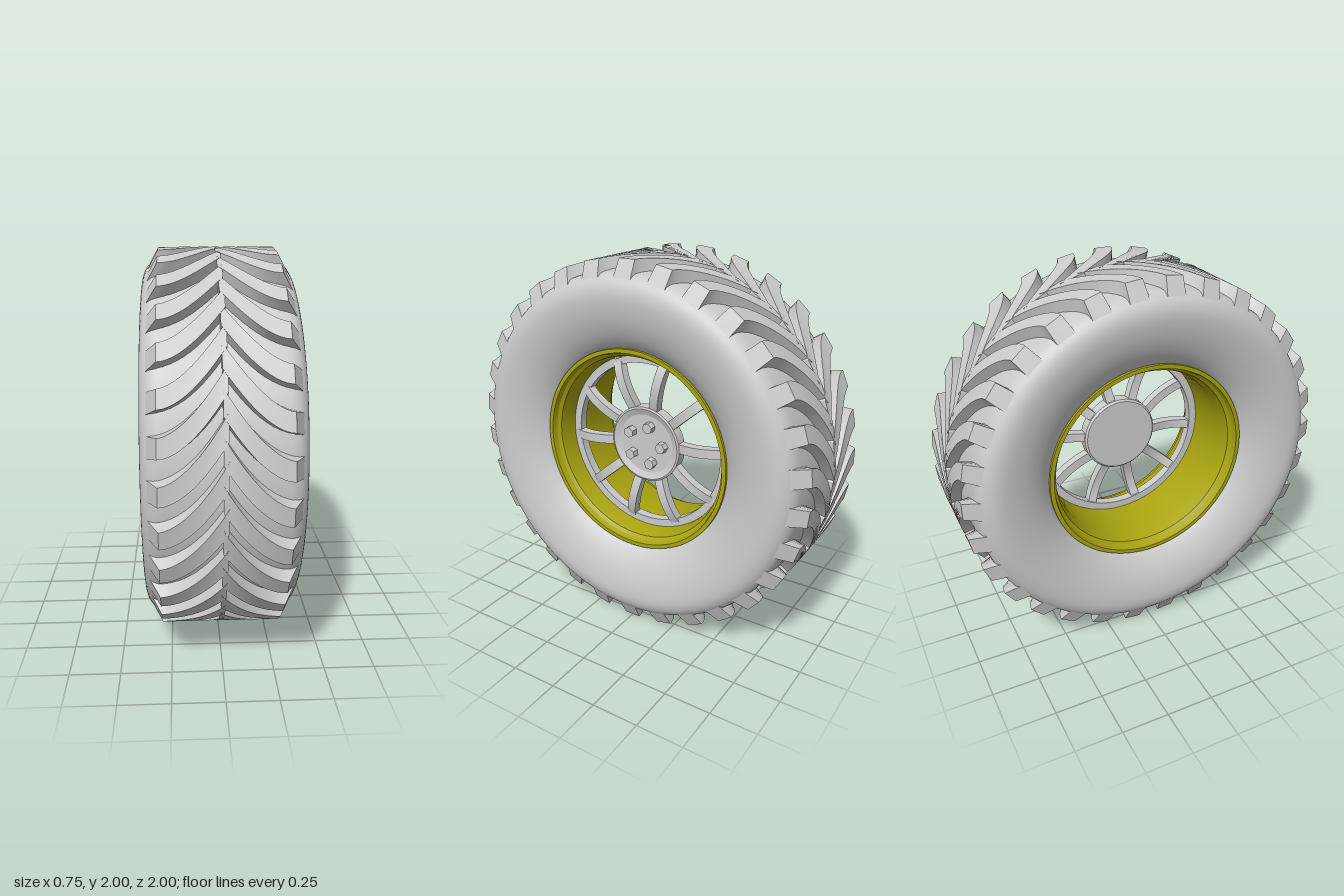
import * as THREE from 'three';
import { toCreasedNormals } from 'three/addons/utils/BufferGeometryUtils.js';

const grey = new THREE.MeshStandardMaterial({ color: 0xcccccc });
const olive = new THREE.MeshStandardMaterial({ color: 0xaaa510 });

// Revolve [radius, x] points around the wheel axle (x axis)
function revolve(points, crease, segments = 96) {
  const g = new THREE.LatheGeometry(points.map(([r, x]) => new THREE.Vector2(r, x)), segments);
  g.rotateZ(-Math.PI / 2);
  return crease ? toCreasedNormals(g, crease) : g;
}

// One curved, tapering tread lug; side = +1 or -1 mirrors it across the tyre
function lugGeometry(side) {
  const steps = 12, pos = [], idx = [];
  for (let i = 0; i <= steps; i++) {
    const u = i / steps;
    const xTop = -0.012 + 0.307 * u;
    const xBase = xTop + 0.06 * u ** 4;
    const lead = 0.3 * (1 - u) ** 1.7;
    const half = 0.062 - 0.017 * u;
    const rBase = 0.925 - 0.035 * u ** 4;
    for (const [x, a, r] of [
      [xBase, lead - half - 0.012, rBase], [xBase, lead + half + 0.012, rBase],
      [xTop, lead + half, 1], [xTop, lead - half, 1],
    ]) pos.push(side * x, r * Math.sin(a), r * Math.cos(a));
  }
  const tri = (a, b, c) => (side > 0 ? idx.push(a, b, c) : idx.push(a, c, b));
  const quad = (a, b, c, d) => { tri(a, b, c); tri(a, c, d); };
  for (let i = 0; i < steps; i++) {
    for (let j = 0; j < 4; j++) {
      const k = (j + 1) % 4, p = i * 4;
      quad(p + j, p + k, p + 4 + k, p + 4 + j);
    }
  }
  const e = steps * 4;
  quad(e, e + 1, e + 2, e + 3);
  quad(3, 2, 1, 0);
  const g = new THREE.BufferGeometry();
  g.setAttribute('position', new THREE.Float32BufferAttribute(pos, 3));
  g.setIndex(idx);
  return toCreasedNormals(g, 0.5);
}

// Spoke: an arched bar in the radius/x plane, pointing along +z
function spokeGeometry() {
  const s = new THREE.Shape();
  s.moveTo(0.17, 0.085);
  s.quadraticCurveTo(0.34, 0.15, 0.465, 0.085);
  s.lineTo(0.465, 0.135);
  s.quadraticCurveTo(0.34, 0.2, 0.17, 0.135);
  s.closePath();
  const w = 0.05;
  const g = new THREE.ExtrudeGeometry(s, { depth: w, bevelEnabled: false, curveSegments: 12 });
  g.translate(0, 0, -w / 2);
  g.applyMatrix4(new THREE.Matrix4().makeBasis(
    new THREE.Vector3(0, 0, 1), new THREE.Vector3(1, 0, 0), new THREE.Vector3(0, 1, 0)));
  return toCreasedNormals(g, 0.5);
}

export function createModel() {
  const model = new THREE.Group();
  model.name = 'wheel';
  const wheel = new THREE.Group();
  wheel.name = 'wheelAssembly';
  wheel.position.y = 1;
  model.add(wheel);

  const add = (parent, name, geometry, material = grey) => {
    const m = new THREE.Mesh(geometry, material);
    m.name = name;
    parent.add(m);
    return m;
  };
  // Repeat a part pointing along +z around the axle
  const ring = (name, count, startDeg, geometry) => {
    const group = new THREE.Group();
    group.name = name + 's';
    for (let i = 0; i < count; i++) {
      const m = add(group, name, geometry);
      m.rotation.x = -(THREE.MathUtils.degToRad(startDeg) + (i / count) * Math.PI * 2);
    }
    wheel.add(group);
  };

  // Tyre carcass: smooth bulging sidewalls and a nearly flat crown
  const half = [[0.54, 0.24], [0.56, 0.275], [0.62, 0.32], [0.7, 0.355], [0.78, 0.373],
    [0.845, 0.375], [0.895, 0.357], [0.928, 0.32], [0.94, 0.26], [0.945, 0.12]];
  const outline = [...half.map(([r, x]) => new THREE.Vector2(r, -x)),
    ...half.slice().reverse().map(([r, x]) => new THREE.Vector2(r, x))];
  const tyreProfile = new THREE.SplineCurve(outline).getPoints(70).map((p) => [p.x, p.y]);
  add(wheel, 'tyreBody', revolve(tyreProfile));

  // Staggered lugs on the two halves of the tread
  ring('leftTreadLug', 30, 6, lugGeometry(1));
  ring('rightTreadLug', 30, 0, lugGeometry(-1));

  // Rim barrel with flared lips
  add(wheel, 'rim', revolve([
    [0.535, -0.24], [0.552, -0.25], [0.552, -0.28], [0.53, -0.28], [0.522, -0.25], [0.505, -0.235],
    [0.487, -0.16], [0.487, 0.16], [0.505, 0.235], [0.522, 0.25], [0.53, 0.28], [0.552, 0.28],
    [0.552, 0.25], [0.535, 0.24], [0.51, 0.16], [0.51, -0.16], [0.535, -0.24],
  ].reverse(), 0.5), olive);

  // Ring that carries the spokes
  add(wheel, 'spokeRing', revolve([
    [0.445, 0.085], [0.49, 0.085], [0.49, 0.135], [0.445, 0.135], [0.445, 0.085],
  ], 0.5));
  ring('spoke', 10, -5, spokeGeometry());

  // Dished hub
  add(wheel, 'hub', revolve([
    [0, 0.08], [0.2, 0.08], [0.21, 0.09], [0.21, 0.15], [0.2, 0.155], [0.165, 0.14], [0, 0.14],
  ], 0.3, 64));

  // Hexagonal wheel nuts
  const nut = new THREE.CylinderGeometry(0.03, 0.03, 0.04, 6);
  nut.rotateZ(-Math.PI / 2);
  nut.translate(0.158, 0, 0.107);
  ring('wheelNut', 5, 33, toCreasedNormals(nut, 0.5));

  // Valve stem on the inner wall of the rim
  const valve = new THREE.CylinderGeometry(0.007, 0.009, 0.05, 10);
  valve.rotateZ(-Math.PI / 2);
  valve.translate(0.2, 0.477, 0.13);
  add(wheel, 'valveStem', valve);

  return model;
}
